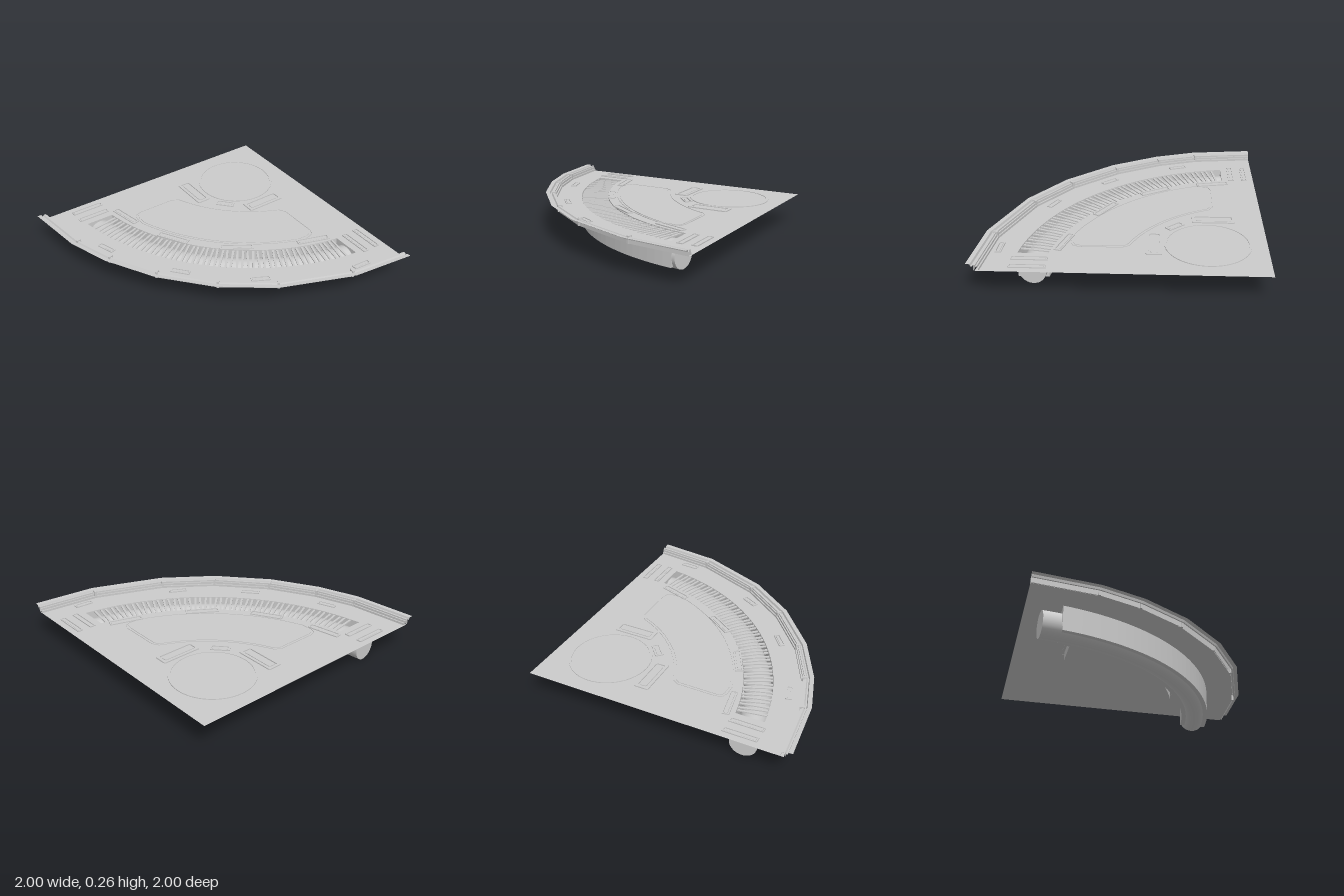
import * as THREE from 'three';

const mat = new THREE.MeshStandardMaterial({ color: 0xcccccc, side: THREE.DoubleSide });
const flat = new THREE.MeshStandardMaterial({ color: 0xcccccc, side: THREE.DoubleSide, flatShading: true });
const FLOOR = 0.212;
const rad = THREE.MathUtils.degToRad;
const V2 = (x, z) => new THREE.Vector2(x, z);

// Polar point in plan, measured about the corner of the quarter disc
const polar = (r, deg) => V2(1 - r * Math.cos(rad(deg)), -1 + r * Math.sin(rad(deg)));
const arc = (r, a, b, n) => Array.from({ length: n + 1 }, (_, i) => polar(r, a + (b - a) * i / n));

// Move a closed outline along its own normals
function offset(pts, d) {
  const n = pts.length;
  return pts.map((p, i) => {
    const t = pts[(i + 1) % n].clone().sub(pts[(i + n - 1) % n]).normalize();
    return V2(p.x + t.y * d, p.y - t.x * d);
  });
}

// Surface through rows of equal length
function sheet(rows) {
  const m = rows[0].length, pos = rows.flat().flatMap(p => [p.x, p.y, p.z]), idx = [];
  for (let j = 0; j < rows.length - 1; j++)
    for (let i = 0; i < m - 1; i++) {
      const a = j * m + i, b = a + m;
      idx.push(a, a + 1, b, a + 1, b + 1, b);
    }
  const g = new THREE.BufferGeometry();
  g.setAttribute('position', new THREE.Float32BufferAttribute(pos, 3));
  g.setIndex(idx);
  g.computeVertexNormals();
  return g;
}
const lift = (pts, y) => [...pts, pts[0]].map(p => new THREE.Vector3(p.x, y, p.y));
const wall = (pts, y0, y1) => sheet([lift(pts, y1), lift(pts, y0)]);

// Flat plan shape laid at height y
const plate = (shape, y) => new THREE.ShapeGeometry(shape, 32).rotateX(Math.PI / 2).translate(0, y, 0);
// Plan shape with thickness, top at y
const slab = (shape, y, h) => new THREE.ExtrudeGeometry(shape, { depth: h, bevelEnabled: false, curveSegments: 24 })
  .rotateX(Math.PI / 2).translate(0, y, 0);

function roundedRect(w, h, r, Type = THREE.Shape) {
  const s = new Type(), x = w / 2, y = h / 2;
  s.absarc(x - r, y - r, r, 0, Math.PI / 2);
  s.absarc(r - x, y - r, r, Math.PI / 2, Math.PI);
  s.absarc(r - x, r - y, r, Math.PI, Math.PI * 1.5);
  s.absarc(x - r, r - y, r, Math.PI * 1.5, Math.PI * 2);
  s.closePath();
  return s;
}

export function createModel() {
  const model = new THREE.Group();
  const add = (name, geo, m = mat, parent = model) => {
    const mesh = new THREE.Mesh(geo, m);
    mesh.name = name;
    parent.add(mesh);
    return mesh;
  };

  // Plan outlines
  const kinks = [0, 13.5, 23, 34.5, 47.7, 60.2, 76.4, 90];
  const end = r => THREE.MathUtils.radToDeg(Math.asin(0.25 / r));
  const trough = [...arc(1.72, end(1.72), 90 - end(1.72), 32), ...arc(1.51, 90 - end(1.51), end(1.51), 32)];
  const pan = [
    ...arc(1.42, 20, 70, 16), V2(0.59, 0.335), V2(0.62, 0.325), V2(0.63, 0.29), V2(0.63, 0), V2(0.61, -0.035),
    ...arc(1.04, 65, 25, 14), V2(0.035, -0.61), V2(0, -0.63), V2(-0.29, -0.63), V2(-0.325, -0.62), V2(-0.335, -0.59),
  ];

  // Floor with openings for the trough and the pan
  const floor = new THREE.Shape([V2(1, -1), ...kinks.map(a => polar(1.94, a))]);
  floor.holes.push(new THREE.Path(trough), new THREE.Path(pan));
  add('floor', plate(floor, FLOOR), flat);

  // Stepped kerb with an outward flange
  const profile = [[1.915, FLOOR], [1.915, 0.228], [1.925, 0.228], [1.925, 0.245], [1.935, 0.245],
    [1.935, 0.256], [1.948, 0.256], [1.955, 0.244], [1.965, 0.244], [1.97, 0.26], [2, 0.262]];
  add('kerb', sheet(profile.map(([r, y]) => kinks.map(a => {
    const p = polar(r, a);
    return new THREE.Vector3(p.x, y, p.y);
  }))), flat);
  add('kerbOuterWall', sheet([FLOOR, 0.256].map(y => kinks.map(a => {
    const p = polar(1.948, a);
    return new THREE.Vector3(p.x, y, p.y);
  }))), flat);
  kinks.slice(1, -1).forEach(a => {
    const p = polar(1.936, a);
    const post = add('kerbJoint', new THREE.BoxGeometry(0.035, 0.052, 0.018), flat);
    post.position.set(p.x, FLOOR + 0.026, p.y);
    post.rotation.y = rad(a);
  });

  // Curved trough below the floor
  add('troughWall', wall(trough, 0.03, FLOOR), flat);
  add('troughBottom', plate(new THREE.Shape(trough), 0.03), flat);

  // Pipe lying in the trough, with closed ends
  const R = 0.098;
  const path = new THREE.CatmullRomCurve3(arc(1.615, 3.9, 82.5, 24).map(p => new THREE.Vector3(p.x, R, p.y)));
  add('pipe', new THREE.TubeGeometry(path, 64, R, 28));
  [0, 1].forEach(t => {
    const cap = add('pipeEnd', new THREE.CircleGeometry(R, 28));
    const p = path.getPoint(t);
    cap.position.copy(p);
    cap.lookAt(p.clone().addScaledVector(path.getTangent(t), t ? 1 : -1));
  });

  // Slats across the trough
  const grate = new THREE.Group();
  grate.name = 'grate';
  model.add(grate);
  for (let i = 0; i < 50; i++) {
    const a = 11 + 68 * i / 49, p = polar(1.615, a);
    const bar = add('slat', new THREE.BoxGeometry(0.205, 0.008, 0.016), flat, grate);
    bar.position.set(p.x, 0.204, p.y);
    bar.rotation.y = rad(a + (i % 2 ? 2 : -2));
  }

  // Sunken pan
  add('panWall', wall(pan, 0.148, FLOOR), flat);
  add('panBottom', plate(new THREE.Shape(pan), 0.148), flat);
  const rim = new THREE.Shape(pan);
  rim.holes.push(new THREE.Path(offset(pan, -0.02)));
  add('panLedge', slab(rim, FLOOR + 0.004, 0.006), flat);

  // Rings: large round cover and small disc in the pan
  const disc = (name, x, z, r, y, h) => {
    const ring = new THREE.Shape().absarc(x, z, r, 0, Math.PI * 2);
    ring.holes.push(new THREE.Path().absarc(x, z, r - 0.016, 0, Math.PI * 2));
    add(name + 'Rim', slab(ring, y + h, h));
    add(name, plate(new THREE.Shape().absarc(x, z, r - 0.016, 0, Math.PI * 2), y + 0.002));
  };
  disc('roundCover', 0.585, -0.59, 0.3, FLOOR, 0.006);
  disc('panDisc', 0.11, -0.16, 0.11, 0.148, 0.008);

  // Rounded frames with a raised centre
  const frame = (name, x, z, w, l, deg = 0, y = FLOOR) => {
    const g = new THREE.Group();
    g.name = name;
    const edge = Math.min(w, l) * 0.18, c = Math.min(w, l) * 0.12;
    const s = roundedRect(w, l, c);
    s.holes.push(roundedRect(w - 2 * edge, l - 2 * edge, c, THREE.Path));
    add(name + 'Frame', slab(s, 0.008, 0.008), flat, g);
    add(name + 'Panel', slab(roundedRect(w - 3 * edge, l - 3 * edge, c), 0.005, 0.005), flat, g);
    g.position.set(x, y, z);
    g.rotation.y = rad(deg);
    model.add(g);
  };
  frame('hatch', 0.21, -0.645, 0.11, 0.31);
  frame('hatch', 0.59, -0.22, 0.31, 0.11);
  frame('smallHatch', 0.325, -0.365, 0.06, 0.14, 42);
  [-0.93, -0.825].forEach(z => frame('endVent', -0.61, z, 0.25, 0.045));
  [0.825, 0.93].forEach(x => frame('endVent', x, 0.61, 0.045, 0.25));
  frame('panHandle', -0.15, -0.59, 0.25, 0.03, 0, 0.19);
  frame('panHandle', 0.58, 0.13, 0.03, 0.25, 0, 0.19);
  [[-0.41, -0.67, 11], [-0.26, -0.22, 30], [0.065, 0.145, 57], [0.59, 0.4, 72]]
    .forEach(([x, z, a]) => frame('innerVent', x, z, 0.055, 0.25, a));
  [[-0.73, -0.4, 19], [-0.43, 0.145, 40], [-0.01, 0.54, 62], [0.685, 0.83, 86]]
    .forEach(([x, z, a]) => frame('outerLight', x, z, 0.045, 0.14, a));

  return model;
}
